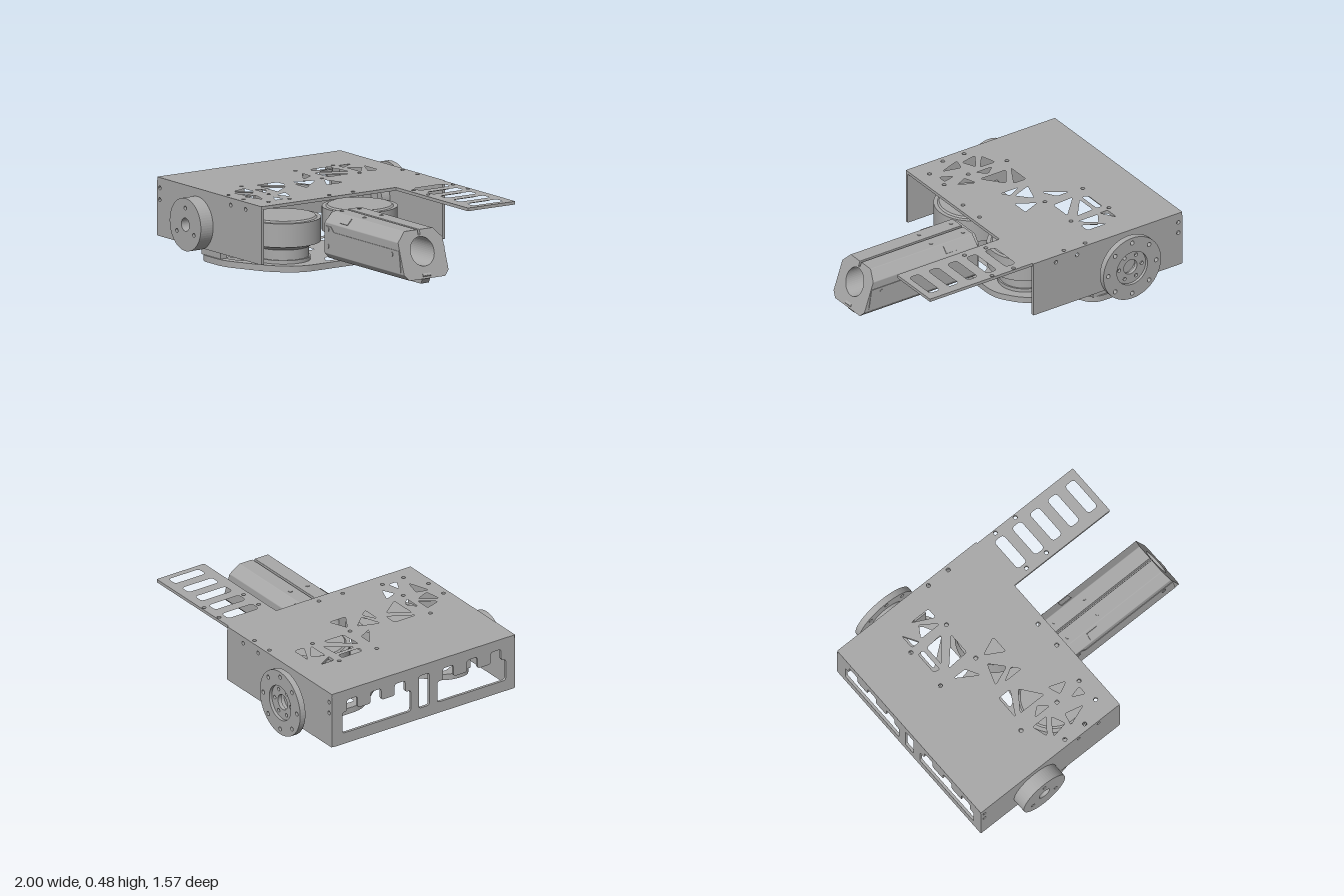
import * as THREE from 'three';

const metal = new THREE.MeshStandardMaterial({ color: 0xa9a9a9 });
metal.name = 'plain grey metal';

// Closed outline with softly rounded corners
function outline(points, r = 0.012, Type = THREE.Path) {
  const path = new Type();
  const v = points.map(([x, y]) => new THREE.Vector2(x, y));
  v.forEach((p, i) => {
    const prev = v[(i + v.length - 1) % v.length], next = v[(i + 1) % v.length];
    const toward = (q) => p.clone().add(q.clone().sub(p).setLength(Math.min(r, p.distanceTo(q) * 0.45)));
    const a = toward(prev), b = toward(next);
    if (i === 0) path.moveTo(a.x, a.y); else path.lineTo(a.x, a.y);
    path.quadraticCurveTo(p.x, p.y, b.x, b.y);
  });
  path.closePath();
  return path;
}
const rect = (x0, y0, x1, y1) => [[x0, y0], [x1, y0], [x1, y1], [x0, y1]];
const circle = (x, y, r, Type = THREE.Path) => new Type().absarc(x, y, r, 0, Math.PI * 2, false);
const ringOf = (n, x, y, R, r, a0 = 0) => Array.from({ length: n }, (_, i) => {
  const a = a0 + (i / n) * Math.PI * 2;
  return circle(x + R * Math.cos(a), y + R * Math.sin(a), r);
});
function extrude(shape, holes, depth, curveSegments = 10) {
  shape.holes.push(...holes);
  return new THREE.ExtrudeGeometry(shape, { depth, bevelEnabled: false, curveSegments });
}
const flip = (pts) => pts.map(([x, z]) => [x, -z]);

export function createModel() {
  const model = new THREE.Group();
  const add = (name, geometry, x = 0, y = 0, z = 0) => {
    const mesh = new THREE.Mesh(geometry, metal);
    mesh.name = name;
    mesh.position.set(x, y, z);
    model.add(mesh);
    return mesh;
  };
  const cylinder = (name, r0, r1, y0, y1, x, z) =>
    add(name, new THREE.CylinderGeometry(r1, r0, y1 - y0, 64), x, (y0 + y1) / 2, z);

  // Top plate with slotted tail and triangular lightening cutouts
  const topOutline = [[-1, -0.7], [0.12, -0.7], [0.12, -0.69], [0.89, -0.69], [0.89, -0.33],
    [0.12, -0.33], [0.12, 0.69], [-1, 0.69]];
  const truss = [
    [[-0.63, -0.52], [-0.63, -0.42], [-0.57, -0.42]],
    [[-0.53, -0.55], [-0.39, -0.55], [-0.39, -0.48]],
    [[-0.55, -0.43], [-0.5, -0.51], [-0.4, -0.43]],
    [[-0.63, -0.36], [-0.59, -0.36], [-0.59, -0.2], [-0.63, -0.21]],
    [[-0.56, -0.36], [-0.44, -0.37], [-0.56, -0.22]],
    [[-0.54, -0.17], [-0.39, -0.33], [-0.39, -0.18]],
    [[-0.56, -0.1], [-0.47, -0.1], [-0.42, -0.01]],
    [[-0.32, -0.1], [-0.2, -0.15], [-0.2, -0.03]],
    [[-0.39, 0.1], [-0.34, -0.04], [-0.26, 0.05]],
    [[-0.33, 0.12], [-0.24, 0.07], [-0.2, 0.12]],
    [[-0.43, 0.18], [-0.34, 0.18], [-0.43, 0.34]],
    [[-0.39, 0.34], [-0.3, 0.21], [-0.2, 0.34]],
    [[-0.34, 0.42], [-0.28, 0.37], [-0.22, 0.42]],
    [[-0.39, 0.46], [-0.28, 0.46], [-0.36, 0.56]],
    [[-0.33, 0.59], [-0.26, 0.48], [-0.22, 0.57]],
    [[-0.2, 0.6], [-0.18, 0.52], [-0.06, 0.55]],
    [[-0.15, 0.32], [-0.04, 0.36], [-0.12, 0.4]],
    [[-0.08, 0.46], [0, 0.44], [0, 0.5]],
  ];
  const drilled = [[-0.29, -0.67], [-0.13, -0.67], [-0.29, 0.65], [-0.13, 0.65], [0.25, -0.67], [0.41, -0.67],
    [0.25, -0.37], [0.41, -0.37], [0.07, -0.04], [0.07, 0.14], [0.025, 0.41], [0.025, 0.57],
    [-0.655, -0.4], [-0.37, -0.4], [-0.655, -0.115], [-0.37, -0.115], [-0.46, 0.43], [-0.17, 0.43]];
  const slots = [0.205, 0.347, 0.49, 0.632, 0.775].map((x) => outline(flip(rect(x, -0.63, x + 0.073, -0.4)), 0.025));
  add('topPlate', extrude(outline(flip(topOutline), 0.006, THREE.Shape), [
    ...truss.map((t) => outline(flip(t), 0.015)),
    ...drilled.map(([x, z]) => circle(x, -z, 0.013)), ...slots,
  ], 0.02).rotateX(-Math.PI / 2), 0, 0.46, 0);

  // Side walls
  for (const [name, z] of [['frontWall', 0.672], ['rearWall', -0.7]]) {
    const holes = [[-0.21, 0.435], [-0.05, 0.435], [-0.97, 0.415], [-0.97, 0.34]].map(([x, y]) => circle(x, y, 0.013));
    add(name, extrude(outline(rect(-1, 0.11, 0.12, 0.46), 0.006, THREE.Shape), holes, 0.018), 0, 0, z);
  }

  // End wall with two comb-shaped windows and a centre slot
  const comb = (s) => {
    const pts = [[s * 0.62, 0.185], [s * 0.62, 0.33]];
    for (const c of [0.545, 0.365, 0.183])
      pts.push([s * (c + 0.04), 0.33], [s * (c + 0.04), 0.41], [s * (c - 0.04), 0.41], [s * (c - 0.04), 0.33]);
    pts.push([s * 0.1, 0.33], [s * 0.1, 0.185]);
    return outline(pts, 0.02);
  };
  add('endWall', extrude(outline(rect(-0.685, 0.11, 0.695, 0.46), 0.006, THREE.Shape),
    [comb(1), comb(-1), outline(rect(-0.04, 0.185, 0.04, 0.41), 0.02)], 0.018).rotateY(Math.PI / 2), -1, 0, 0);

  // Bottom plate carrying the two motors
  const motors = [[-0.135, 0.345], [-0.135, -0.235]];
  const base = [[-0.56, -0.68], [-0.35, -0.68], [-0.28, -0.54], [0, -0.44], [0.12, -0.27], [0.12, 0.38],
    [0, 0.53], [-0.3, 0.68], [-0.56, 0.68], [-0.56, 0.5], [-0.35, 0.3], [-0.37, 0.08], [-0.56, -0.15]];
  const baseCuts = [
    [[-0.52, -0.61], [-0.4, -0.61], [-0.36, -0.53], [-0.52, -0.53]],
    [[-0.52, -0.48], [-0.34, -0.48], [-0.52, -0.34]],
    [[-0.5, -0.28], [-0.35, -0.41], [-0.35, -0.2], [-0.5, -0.17]],
    [[-0.32, 0.02], [-0.25, 0.02], [-0.27, 0.13], [-0.32, 0.16]],
    [[-0.02, 0], [0.07, -0.06], [0.07, 0.17], [-0.02, 0.11]],
    [[-0.5, 0.51], [-0.37, 0.4], [-0.36, 0.52], [-0.46, 0.6]],
    [[-0.38, 0.6], [-0.29, 0.54], [-0.22, 0.57], [-0.32, 0.63]],
  ];
  add('bottomPlate', extrude(outline(flip(base), 0.08, THREE.Shape), [
    ...baseCuts.map((c) => outline(flip(c), 0.025)),
    ...motors.flatMap(([x, z]) => [circle(x, -z, 0.06), ...ringOf(4, x, -z, 0.11, 0.014, Math.PI / 4)]),
  ], 0.04).rotateX(-Math.PI / 2), 0, 0.027, 0);
  for (const z of [0.645, -0.645])
    add('mountBracket', new THREE.BoxGeometry(0.2, 0.13, 0.05), -0.45, 0.13, z);

  // Pancake motors
  for (const [x, z] of motors) {
    cylinder('motorFoot', 0.17, 0.17, 0.067, 0.09, x, z);
    cylinder('motorNeck', 0.16, 0.16, 0.09, 0.155, x, z);
    cylinder('motorTaper', 0.165, 0.22, 0.155, 0.185, x, z);
    cylinder('motorDrum', 0.235, 0.235, 0.185, 0.335, x, z);
    cylinder('motorCap', 0.21, 0.2, 0.335, 0.345, x, z);
    cylinder('motorHub', 0.045, 0.045, 0.025, 0.07, x, z);
    cylinder('motorPin', 0.018, 0.018, 0, 0.03, x, z);
  }

  // Wheel motor on the front wall
  const ax = -0.565, ay = 0.262;
  add('frontWheel', extrude(circle(0, 0, 0.167, THREE.Shape),
    [circle(0, 0, 0.042), ...ringOf(3, 0, 0, 0.105, 0.013, Math.PI / 2)], 0.093, 32), ax, ay, 0.69);

  // Bearing and bolted flange on the rear wall
  add('rearBearing', extrude(circle(0, 0, 0.125, THREE.Shape), [circle(0, 0, 0.08)], 0.13, 32), ax, ay, -0.75);
  add('rearFlange', extrude(circle(0, 0, 0.216, THREE.Shape),
    [circle(0, 0, 0.115), ...ringOf(8, 0, 0, 0.18, 0.014)], 0.04, 32), ax, ay, -0.785);
  add('rearFlangeHub', extrude(circle(0, 0, 0.12, THREE.Shape),
    [circle(0, 0, 0.05), ...ringOf(6, 0, 0, 0.085, 0.012)], 0.025, 32), ax, ay, -0.765);

  // Faceted handle: octagon tube with a top slit and a raked end
  const hz = 0.053, x0 = 0.135;
  const half = [[0.008, 0.36], [0.008, 0.392], [0.108, 0.392], [0.168, 0.33], [0.168, 0.135], [0.135, 0.1]];
  const profile = [...half, ...half.map(([x, y]) => [-x, y]).reverse()];
  const tube = extrude(outline(profile, 0.004, THREE.Shape), [circle(0, 0.262, 0.088)], 1, 24).rotateY(Math.PI / 2);
  const pos = tube.attributes.position;
  for (let i = 0; i < pos.count; i++)
    pos.setX(i, pos.getX(i) > 0.5 ? 0.995 - 0.34 * (pos.getY(i) - 0.11) : x0);
  tube.computeVertexNormals();
  add('handle', tube, 0, 0, hz);
  add('handleLip', extrude(outline([[0.84, 0.105], [0.86, 0.065], [0.97, 0.065], [0.998, 0.12], [0.985, 0.135], [0.84, 0.135]],
    0.004, THREE.Shape), [], 0.06), 0, 0, hz - 0.03);
  add('handleMount', extrude(outline([[-0.14, 0.14], [-0.11, 0.11], [0.11, 0.11], [0.14, 0.14], [0.14, 0.33],
    [0.1, 0.38], [-0.1, 0.38], [-0.14, 0.33]], 0.005, THREE.Shape), [circle(0, 0.262, 0.088)], 0.03, 24)
    .rotateY(Math.PI / 2), 0.11, 0, hz);

  // Raised side covers, screws and chamfer pockets on both sides of the handle
  for (const s of [1, -1]) {
    const cover = [[0.14, 0.145], [0.955, 0.145], [0.935, 0.28], [0.235, 0.28], [0.205, 0.31], [0.14, 0.31]];
    add('handleCover', extrude(outline(cover, 0.006, THREE.Shape), [], 0.007), 0, 0, hz + s * 0.1685 - 0.0035);
    for (const [x, y] of [[0.175, 0.29], [0.175, 0.185], [0.86, 0.25]])
      add('handleScrew', new THREE.CylinderGeometry(0.014, 0.014, 0.012, 20).rotateX(Math.PI / 2), x, y, hz + s * 0.17);
    for (const x of [0.175, 0.415])
      add('topScrew', new THREE.CylinderGeometry(0.013, 0.013, 0.008, 20), x, 0.392, hz + s * 0.065);
    const tab = add('chamferTab', new THREE.BoxGeometry(0.08, 0.008, 0.05), 0.322, 0.362, hz + s * 0.138);
    tab.rotation.x = s * 0.8;
  }
  return model;
}
